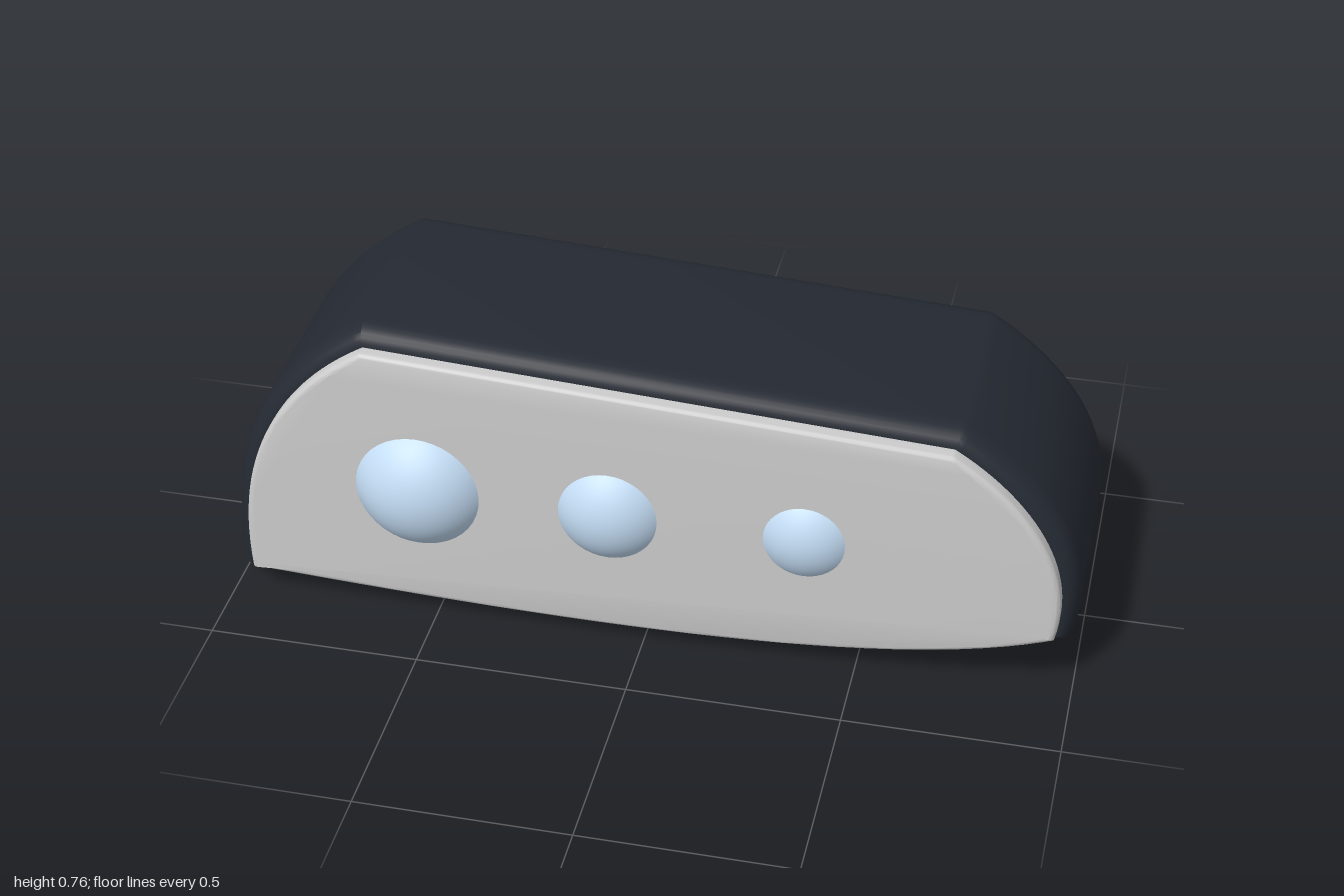
import * as THREE from 'three';
import { toCreasedNormals } from 'three/addons/utils/BufferGeometryUtils.js';

// Asymmetric rounded outline shared by the housing and the face plate
function outline() {
  const s = new THREE.Shape();
  s.moveTo(-0.99, 0.03);
  s.bezierCurveTo(-0.62 + 0.52, -0.02, 0.62, -0.02, 0.985, 0.14); // bottom
  s.bezierCurveTo(1.05, 0.37, 0.9, 0.57, 0.71, 0.68); // left end
  s.lineTo(-0.66, 0.757); // sloping top
  s.bezierCurveTo(-0.9, 0.62, -1.03, 0.38, -0.99, 0.03); // right end
  return s;
}

// Slab from zBack to zFront with rounded rims, inset from the outline
function slab(zBack, zFront, inset, bevelSize, bevelThickness) {
  const geometry = new THREE.ExtrudeGeometry(outline(), {
    depth: zFront - zBack - 2 * bevelThickness,
    curveSegments: 28,
    bevelSize,
    bevelThickness,
    bevelOffset: -inset - bevelSize,
    bevelSegments: 6,
  });
  geometry.translate(0, 0, zBack + bevelThickness);
  return toCreasedNormals(geometry, 0.5);
}

export function createModel() {
  const model = new THREE.Group();
  model.name = 'lampUnit';

  const dark = new THREE.MeshStandardMaterial({ color: 0x252a33 });
  const grey = new THREE.MeshStandardMaterial({ color: 0xcccccc });
  const glass = new THREE.MeshStandardMaterial({ color: 0xc4ddf5 });

  const add = (name, geometry, material, x = 0, y = 0, z = 0) => {
    const mesh = new THREE.Mesh(geometry, material);
    mesh.name = name;
    mesh.position.set(x, y, z);
    model.add(mesh);
  };

  add('housing', slab(-0.25, 0.295, 0, 0.04, 0.06), dark);
  add('facePlate', slab(0.25, 0.33, 0.04, 0.015, 0.015), grey);

  // Domed lenses, shrinking towards the model's left
  [[-0.53, 0.183], [-0.08, 0.159], [0.375, 0.144]].forEach(([x, radius], i) => {
    const dome = new THREE.SphereGeometry(radius, 40, 20, 0, Math.PI * 2, 0, Math.PI / 2);
    dome.rotateX(Math.PI / 2);
    add(`lens${i + 1}`, dome, glass, x, 0.358, 0.221);
  });

  // Horizontal cooling fins on the back
  for (let i = 0; i < 6; i++) {
    add(`coolingFin${i + 1}`, new THREE.BoxGeometry(1.2, 0.018, 0.175), dark, -0.05, 0.163 + i * 0.08, -0.3175);
  }

  return model;
}
